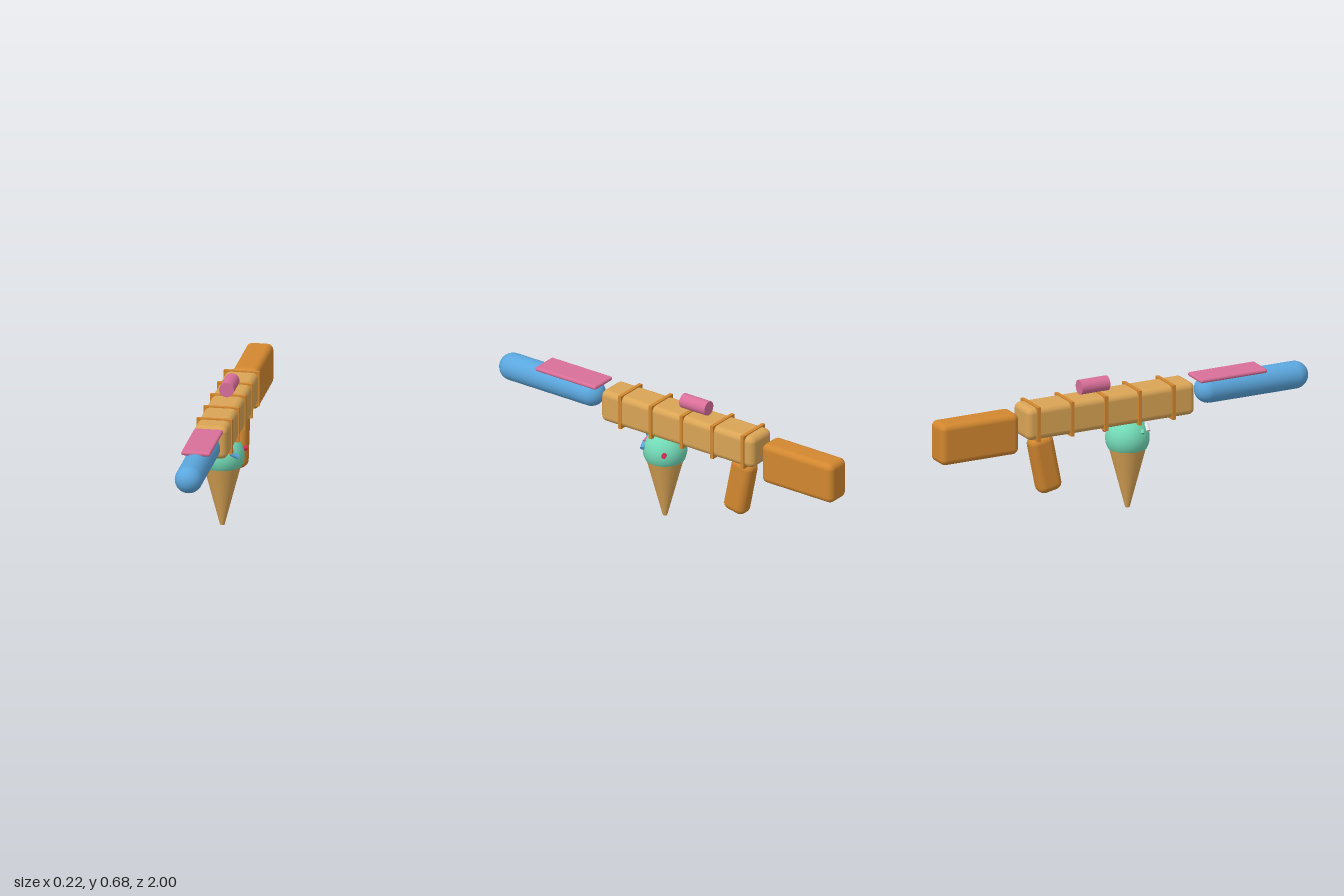
import * as THREE from 'three';
import { RoundedBoxGeometry } from 'three/addons/geometries/RoundedBoxGeometry.js';

const mat = (name, color, extra = {}) => {
  const m = new THREE.MeshStandardMaterial({ color, ...extra });
  m.name = name;
  return m;
};

export function createModel() {
  const group = new THREE.Group();
  const wafer = mat('wafer tan', 0xd9a455);
  const caramel = mat('caramel orange', 0xd2872f);
  const blue = mat('candy blue', 0x5ba7de);
  const pink = mat('candy pink', 0xd96f99);
  const mint = mat('mint green', 0x72dab6, { side: THREE.DoubleSide });
  const white = mat('sugar white', 0xeeeeee);
  const red = mat('cherry red', 0xdc2a55);

  const add = (name, geometry, material, x, y, z) => {
    const mesh = new THREE.Mesh(geometry, material);
    mesh.name = name;
    mesh.position.set(x, y, z);
    group.add(mesh);
    return mesh;
  };
  const rounded = (w, h, d, r) => new RoundedBoxGeometry(w, h, d, 4, r);

  // Wafer body with five thin bands
  add('body', rounded(0.162, 0.162, 0.905, 0.03), wafer, 0, 0.516, -0.092);
  for (let i = 0; i < 5; i++) {
    add('band', new THREE.BoxGeometry(0.173, 0.173, 0.018), caramel, 0, 0.516, 0.24 - i * 0.182);
  }

  // Stock and tilted grip
  add('stock', rounded(0.13, 0.205, 0.42, 0.03), caramel, 0, 0.476, -0.79);
  add('grip', rounded(0.09, 0.29, 0.125, 0.035), caramel, 0, 0.29, -0.417).rotation.x = -0.2;

  // Barrel with a flat plate on top
  add('barrel', new THREE.CapsuleGeometry(0.067, 0.466, 10, 32), blue, 0, 0.526, 0.7).rotation.x = Math.PI / 2;
  add('barrelPlate', rounded(0.142, 0.021, 0.36, 0.01), pink, 0, 0.592, 0.574);

  // Sight
  add('sight', new THREE.CylinderGeometry(0.036, 0.036, 0.15, 32), pink, 0, 0.64, -0.152).rotation.x = Math.PI / 2;

  // Cone and scoop
  const cz = 0.033, r = 0.107;
  add('cone', new THREE.CylinderGeometry(0.09, 0.011, 0.3, 24), wafer, 0, 0.15, cz);
  const cut = Math.acos(-0.05 / r);
  add('scoop', new THREE.SphereGeometry(r, 32, 20, 0, Math.PI * 2, 0, cut), mint, 0, 0.35, cz);

  // Sprinkles: material, centre, axis, length, radius
  const sprinkles = [
    [white, [-0.063, 0.405, 0.107], [0.75, 0.65, 0.1], 0.04, 0.01],
    [blue, [0.072, 0.377, 0.108], [0.85, -0.45, -0.25], 0.042, 0.011],
    [pink, [0.058, 0.404, 0.104], [0.85, -0.5, 0.1], 0.025, 0.007],
    [blue, [0.029, 0.421, 0.106], [0.9, -0.1, 0.4], 0.026, 0.009],
    [mint, [-0.09, 0.397, 0.068], [0.6, 0.6, 0.4], 0.022, 0.009],
    [red, [0.093, 0.368, -0.03], [0.85, 0.15, -0.5], 0.03, 0.012],
  ];
  const up = new THREE.Vector3(0, 1, 0);
  for (const [material, p, axis, length, radius] of sprinkles) {
    const s = add('sprinkle', new THREE.CylinderGeometry(radius, radius, length, 14), material, ...p);
    s.quaternion.setFromUnitVectors(up, new THREE.Vector3(...axis).normalize());
  }

  return group;
}
